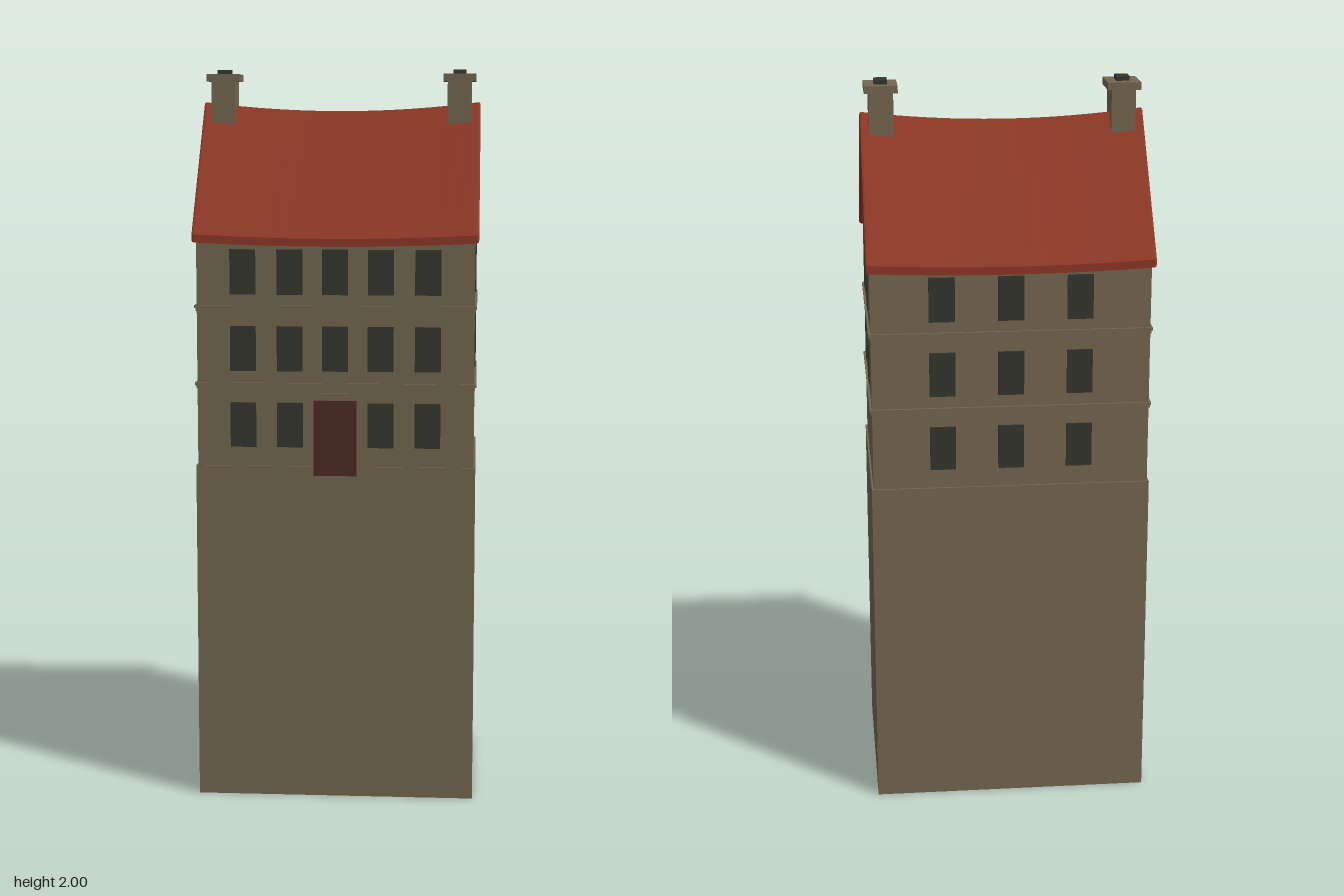
import * as THREE from 'three';

const mat = (name, color) => {
  const m = new THREE.MeshStandardMaterial({ color });
  m.name = name;
  return m;
};

export function createModel() {
  const stone = mat('stone', 0x75674f);
  const tile = mat('roof tile', 0x8e3826);
  const glass = mat('dark glass', 0x363630);
  const wood = mat('door wood', 0x4c2a22);

  const house = new THREE.Group();
  house.name = 'townHouse';

  const add = (name, geometry, material, x = 0, y = 0, z = 0, parent = house) => {
    const mesh = new THREE.Mesh(geometry, material);
    mesh.name = name;
    mesh.position.set(x, y, z);
    parent.add(mesh);
    return mesh;
  };
  const box = (name, w, h, d, material, x, y, z, parent) =>
    add(name, new THREE.BoxGeometry(w, h, d), material, x, y, z, parent);

  // Extrude a (z, y) profile along x, then let its upper part sag in the middle
  const saggingPrism = (points, length, bevel) => {
    const shape = new THREE.Shape(points.map(([z, y]) => new THREE.Vector2(z, y)));
    const depth = length - 2 * bevel;
    const g = new THREE.ExtrudeGeometry(shape, {
      depth, steps: 16, bevelEnabled: bevel > 0,
      bevelThickness: bevel, bevelSize: bevel, bevelOffset: -bevel, bevelSegments: 2,
    });
    g.translate(0, 0, -depth / 2);
    g.rotateY(Math.PI / 2);
    const p = g.attributes.position;
    for (let i = 0; i < p.count; i++) {
      const y = p.getY(i);
      if (y < 1.5) continue;
      const across = 1 - (p.getX(i) / 0.385) ** 2;
      const amount = THREE.MathUtils.mapLinear(y, 1.53, 1.91, 0.01, 0.025);
      p.setY(i, y - amount * across);
    }
    g.computeVertexNormals();
    return g;
  };

  // Tall foundation block and the house walls with gables
  box('foundation', 0.76, 0.93, 0.56, stone, 0, 0.465, 0);
  add('walls', saggingPrism(
    [[-0.275, 0.92], [0.275, 0.92], [0.275, 1.56], [0, 1.888], [-0.275, 1.56]], 0.75, 0), stone);

  // Roof: thin chevron slab
  add('roof', saggingPrism(
    [[-0.296, 1.538], [0, 1.89], [0.296, 1.538], [0.296, 1.56], [0, 1.912], [-0.296, 1.56]],
    0.77, 0.006), tile);

  // String courses between the floors
  for (const y of [1.15, 1.36]) {
    box('stringCourse', 0.762, 0.008, 0.562, stone, 0, y + 0.004, 0);
    box('stringCourseLower', 0.756, 0.008, 0.556, stone, 0, y - 0.004, 0);
  }

  // Windows: thin plates on each wall
  const floors = [1.043, 1.251, 1.458];
  const plate = new THREE.BoxGeometry(0.07, 0.122, 0.006);
  for (const y of floors) {
    for (const x of [-0.25, -0.123, 0, 0.123, 0.25]) {
      if (x === 0 && y === floors[0]) continue; // the door takes this place
      add('frontWindow', plate, glass, x, y, 0.275);
    }
    for (const x of [-0.185, 0, 0.185]) add('backWindow', plate, glass, x, y, -0.275);
    if (y === floors[0]) continue;
    for (const side of [-1, 1])
      for (const z of [-0.108, 0.108])
        add('sideWindow', plate, glass, side * 0.375, y, z).rotation.y = Math.PI / 2;
  }

  // Front door with a shallow stone surround
  box('doorSurround', 0.138, 0.2, 0.01, stone, 0, 1.03, 0.275);
  box('door', 0.116, 0.206, 0.01, wood, 0, 1.008, 0.279);

  // Chimneys at both ends of the ridge
  for (const side of [-1, 1]) {
    const chimney = new THREE.Group();
    chimney.name = side > 0 ? 'leftChimney' : 'rightChimney';
    chimney.position.x = side * 0.327;
    house.add(chimney);
    box('chimneyShaft', 0.066, 0.15, 0.088, stone, 0, 1.895, 0, chimney);
    box('chimneyCap', 0.09, 0.02, 0.108, stone, 0, 1.978, 0, chimney);
    box('chimneyFlue', 0.036, 0.014, 0.046, glass, 0, 1.993, 0, chimney);
  }

  return house;
}
